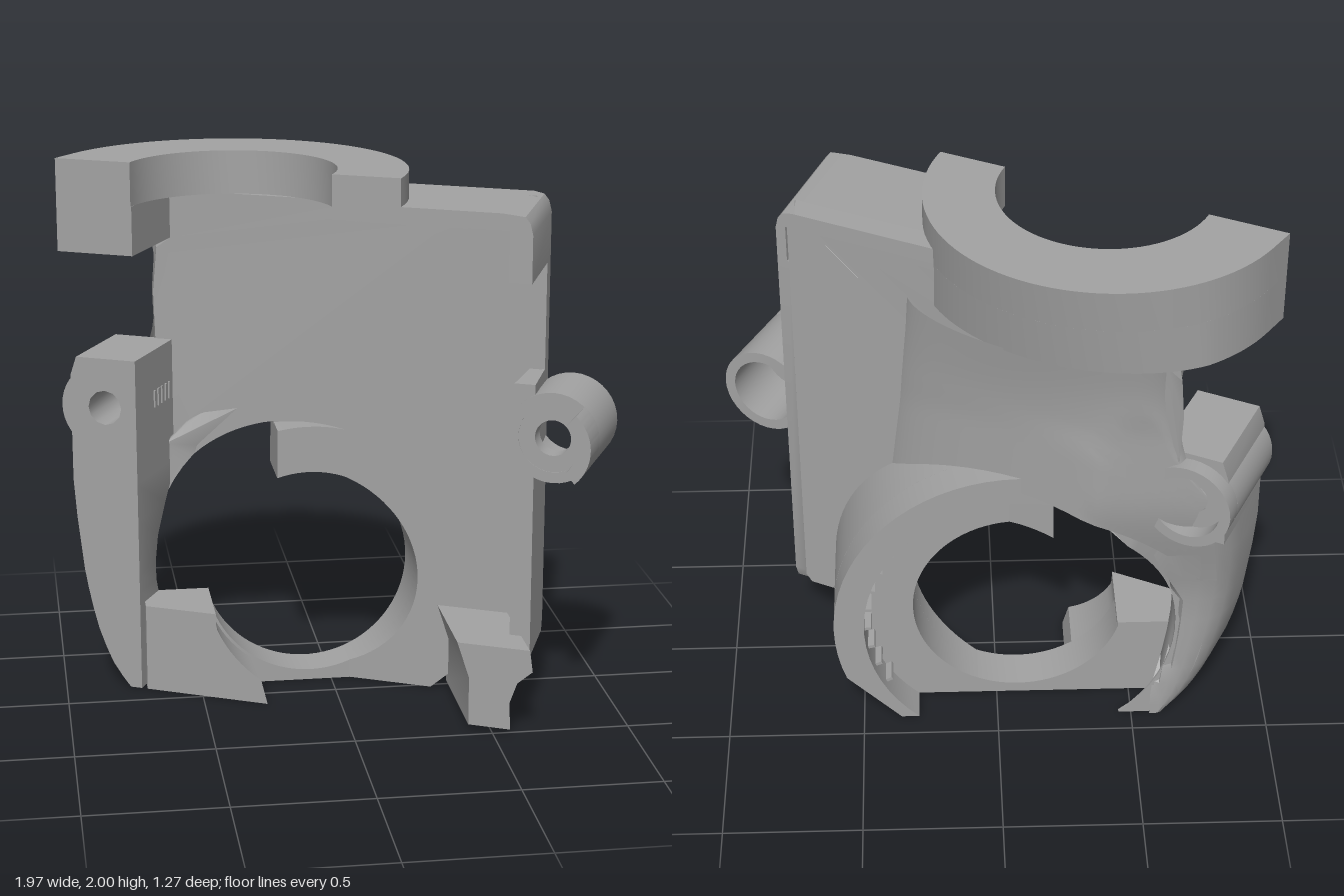
import * as THREE from 'three';
import { toCreasedNormals } from 'three/addons/utils/BufferGeometryUtils.js';

const CX = -0.08, CY = 0.43;      // axis of the round port, running along z
const FRONT = 0.217;              // split face, measured in the turned frame
const COS = 0.894, SIN = 0.447;   // turn of the shell about y
const { lerp, smoothstep, degToRad } = THREE.MathUtils;

const plastic = new THREE.MeshStandardMaterial({ color: 0xa3a3a3, side: THREE.DoubleSide });
plastic.name = 'grey plastic';

// points on an arc, angles in degrees
function arc(cx, cy, r, a0, a1, n = 32) {
  return Array.from({ length: n + 1 }, (_, i) => {
    const a = degToRad(a0 + (a1 - a0) * i / n);
    return [cx + r * Math.cos(a), cy + r * Math.sin(a)];
  });
}
const portArc = (r, a0, a1, n) => arc(CX, CY, r, a0, a1, n);

function makeShape(points, holes = []) {
  const toV = (p) => p.map(([x, y]) => new THREE.Vector2(x, y));
  const shape = new THREE.Shape(toV(points));
  for (const h of holes) shape.holes.push(new THREE.Path(toV(h)));
  return shape;
}

// extrude from z0 to z1
function slab(points, z0, z1, holes) {
  const g = new THREE.ExtrudeGeometry(makeShape(points, holes), { depth: z1 - z0, bevelEnabled: false });
  return g.translate(0, 0, z0);
}

// extrude a plan outline (x, z) from y0 up to y1
function plan(points, y0, y1) {
  return slab(points, 0, y1 - y0).rotateX(Math.PI / 2).translate(0, y1, 0);
}

// move each vertex by a rule
function warp(g, rule) {
  const p = g.attributes.position, v = new THREE.Vector3();
  for (let i = 0; i < p.count; i++) {
    v.fromBufferAttribute(p, i);
    rule(v);
    p.setXYZ(i, v.x, v.y, v.z);
  }
  return g;
}

// extrude whose two ends follow rules z = back(x, y), z = front(x, y)
function between(points, back, front) {
  return warp(slab(points, 0, 1), (v) => { v.z = v.z > 0.5 ? front(v.x, v.y) : back(v.x, v.y); });
}

// skin over rows of points, from the top row down
function loft(rows) {
  const w = rows[0].length, idx = [];
  for (let j = 0; j < rows.length - 1; j++) for (let i = 0; i < w - 1; i++) {
    const a = j * w + i, b = a + 1, c = a + w, d = c + 1;
    idx.push(a, b, c, b, d, c);
  }
  const g = new THREE.BufferGeometry();
  g.setAttribute('position', new THREE.Float32BufferAttribute(rows.flat(2), 3));
  g.setIndex(idx);
  return g.toNonIndexed();
}

function add(group, name, g) {
  const mesh = new THREE.Mesh(toCreasedNormals(g, 0.6), plastic);
  mesh.name = name;
  group.add(mesh);
}

// turned-frame depth n expressed as z over x
const skew = (n) => (x) => 0.5 * x + 1.118 * n;

// rearmost z allowed at each height, and the same limit in the turned frame
const rear = (y) => -0.42 - 0.1 * smoothstep(y, 0.5, 1.1) - 0.04 * smoothstep(y, 1.35, 1.67);
const rearTurned = (u, y) => (rear(y) - SIN * u) / COS;

// smooth bulge flowing from the collar down to the arch of the port
function neckSurface() {
  const S = 36, T = 20, rows = [];
  for (let j = 0; j <= T + 1; j++) {
    const t = Math.min(j, T) / T, row = [];
    const left = -0.78 + 0.02 * Math.sin(Math.PI * Math.min(1, t * 2.5)) - 0.12 * smoothstep(t, 0.4, 0.62);
    const depth = 0.215 - 0.035 * Math.sin(Math.PI * 0.5 * Math.min(1, t * 1.8));
    for (let i = 0; i <= S; i++) {
      const s = i / S;
      const u = lerp(left, 0.26 + 0.12 * t, 0.5 - 0.5 * Math.cos(Math.PI * s));
      const x = COS * u + 0.09;
      const low = CY + Math.sqrt(Math.max(0.05, 0.62 ** 2 - (x - CX) ** 2));
      const y = lerp(1.67, low, t);
      const n = j > T ? -0.15 : -0.15 - depth * Math.sin(Math.PI * s);
      row.push([u, y, Math.max(n, rearTurned(u, y))]);
    }
    rows.push(row);
  }
  return loft(rows);
}

// lower part of the left wall: rounded outside, hollowed by the port inside
function leftLegSurface() {
  const outline = [[0.93, 0.954], [0.8, 0.954], [0.66, 0.943], [0.55, 0.93], [0.45, 0.918], [0.38, 0.905],
    [0.3, 0.887], [0.22, 0.865], [0.15, 0.838], [0.09, 0.81], [0.04, 0.775], [0, 0.742]];
  const rows = outline.map(([y, half]) => {
    const o = -half, bore = CX - Math.sqrt(0.57 ** 2 - (y - CY) ** 2);
    const back = (f, lift) => {
      const u = lerp(o, -0.697, f);
      return [u, y, Math.max(-0.17, rearTurned(u, y), (COS * u - bore) / SIN) + lift];
    };
    return [[-0.697, y, FRONT], [o, y, FRONT], back(0, 0.09), back(0.06, 0.04), back(0.2, 0.01),
      back(0.4, 0), back(0.6, 0), back(0.8, 0), back(1, 0), [-0.697, y, FRONT]];
  });
  // close the underside
  rows.push(rows.at(-1).map(() => [-0.71, 0, 0.05]));
  return loft(rows);
}

export function createModel() {
  const model = new THREE.Group();
  model.name = 'housingHalf';

  // --- parts aligned with the port axis ---
  const port = new THREE.Group();
  port.name = 'port';
  model.add(port);

  // back wall, its lower edge following the keyhole opening
  const wallFace = (n) => (x, y) => Math.max(skew(n)(x), rear(y));
  add(port, 'backWall', between([
    [0.07, 0], [0.36, 0], [0.5, 0.25], [0.7, 0.25], [0.72, 0.28], [0.72, 1.85], [0.69, 1.9], [0.1, 1.9],
    [0.1, 1.84], [-0.56, 1.84], [-0.56, 1.66], [-0.61, 1.62], [-0.625, 1.45], [-0.62, 1.27],
    ...portArc(0.57, 161, 102, 16), ...portArc(0.39, 108, -67.4, 40),
  ], wallFace(-0.23), wallFace(-0.14)));

  // thick plate around the smaller bore: top tab, bottom web, and the right side running into the wall
  const seat = () => -0.28;
  add(port, 'plateTab', slab([...portArc(0.565, 102, 74.7, 10), ...portArc(0.39, 67.4, 108, 10)], -0.28, -0.13));
  add(port, 'plateWeb', slab([[-0.5, 0], [0.07, 0], ...portArc(0.39, 292.6, 196, 24), [-0.46, 0.33]], -0.28, -0.12));
  add(port, 'plateSide', between([
    ...portArc(0.68, 77.3, -20, 28), [0.36, 0], [0.07, 0], ...portArc(0.39, -67.4, 67.4, 32),
  ], seat, skew(-0.142)));
  add(port, 'plateBacking', between([
    ...portArc(0.68, 100, 77.3, 8), ...portArc(0.565, 74.7, 102, 8),
  ], seat, (x) => Math.max(-0.28, skew(-0.15)(x))));

  // raised rim behind the plate
  add(port, 'backRim', between([
    ...portArc(0.68, -20, 219, 48), ...portArc(0.57, 229, -49, 48), [0.36, 0],
  ], () => -0.41, (x) => Math.min(-0.28, Math.max(-0.4, skew(-0.15)(x)))));

  // short ribs inside the rim
  for (let i = 0; i < 14; i++) {
    const a = degToRad(-30 + i * 9);
    const rib = new THREE.BoxGeometry(0.03, 0.012, 0.1).rotateZ(a)
      .translate(CX + 0.56 * Math.cos(a), CY + 0.56 * Math.sin(a), -0.32);
    add(port, 'rimRib', rib);
  }

  // lower left sill, hollowed by the bore
  add(port, 'sill', between([
    [-0.7, 0], [-0.27, 0], ...portArc(0.4, 238, 204, 8), [-0.45, 0.29], [-0.45, 0.33], [-0.7, 0.33],
  ], seat, skew(FRONT)));

  // lower right foot
  add(port, 'foot', between([
    [0.42, 0.02], [0.56, 0.02], [0.555, 0.12], [0.58, 0.2], [0.63, 0.25], [0.62, 0.33], [0.38, 0.33], [0.42, 0.2],
  ], skew(-0.18), skew(FRONT)));

  // --- parts square to the split face ---
  const shell = new THREE.Group();
  shell.name = 'shell';
  shell.rotation.y = -Math.atan2(SIN, COS);
  model.add(shell);

  // half collar at the top and its skirt around the motor pocket, narrowing downwards
  const taper = (v) => { if (v.z < -0.17) v.z = -0.16 + (v.z + 0.16) * (1 - 0.6 * (2 - v.y)); };
  const collarArc = (a0, a1) => arc(-0.335, FRONT, 0.645, a0, a1, 48);
  add(shell, 'collar', warp(plan([
    [-0.99, FRONT], ...collarArc(190, 360), ...arc(-0.32, FRONT, 0.38, 360, 180, 40),
  ], 1.84, 2), taper));
  add(shell, 'collarSkirt', warp(plan([
    [-0.99, FRONT], ...collarArc(190, 326), [-0.697, -0.15], [-0.697, FRONT],
  ], 1.66, 1.84), taper));
  add(shell, 'neck', neckSurface());

  // the right flank leans slightly outwards to the front
  const lean = (v) => { if (v.x > 0.7) v.x += 0.1 * (v.z + 0.23); };

  // roof and upper corner
  add(shell, 'roof', warp(slab([
    [0.1, 1.84], [0.697, 1.84], [0.697, 1.66], [0.735, 1.66], [0.735, 1.83], [0.725, 1.87],
    [0.707, 1.892], [0.67, 1.9], [0.1, 1.9],
  ], -0.23, FRONT), lean));

  // right side wall with its stepped front edge (outline in depth and height)
  add(shell, 'rightWall', warp(slab([
    [0.23, 0.3], [0.21, 0.25], [-0.08, 0.25], [-0.08, 1.27], [0.15, 1.27], [0.15, 1.7], [0.23, 1.7],
  ], 0.69, 0.735).rotateY(Math.PI / 2), lean));

  // left side wall: screw block above, rounded leg below
  add(shell, 'leftWall', slab([
    [-0.697, 1.27], [-0.93, 1.27], [-0.954, 1.2], [-0.954, 0.92], [-0.697, 0.92],
  ], -0.15, FRONT, [arc(-0.82, 1.085, 0.065, 0, 330, 11)]));
  add(shell, 'leftLeg', leftLegSurface());

  // screw bosses on both sides
  const tube = (u, r0, r1, z0, z1) => slab(arc(u, 1.085, r1, 0, 350, 35), z0, z1, [arc(u, 1.085, r0, 0, 350, 35)]);
  const band = (u, r0, a0, a1, z0, z1) => slab([
    ...arc(u, 1.085, 0.165, a0, a1), ...arc(u, 1.085, r0, a1, a0),
  ], z0, z1);
  add(shell, 'leftBoss', tube(-0.825, 0.125, 0.165, -0.21, -0.14));
  add(shell, 'leftBossSide', band(-0.825, 0.125, 42, 318, -0.14, FRONT));
  add(shell, 'rightBoss', tube(0.835, 0.125, 0.165, -0.21, 0.09));
  add(shell, 'rightBossFloor', tube(0.835, 0.065, 0.13, 0.02, 0.088));
  add(shell, 'rightBossLip', band(0.835, 0.115, -48, 48, 0.08, FRONT));

  // screw thread showing on the pocket wall
  for (let i = 0; i < 5; i++) {
    add(shell, 'threadRidge', new THREE.BoxGeometry(0.008, 0.065, 0.012).translate(-0.695, 1.085, -0.1 + i * 0.035));
  }
  return model;
}
